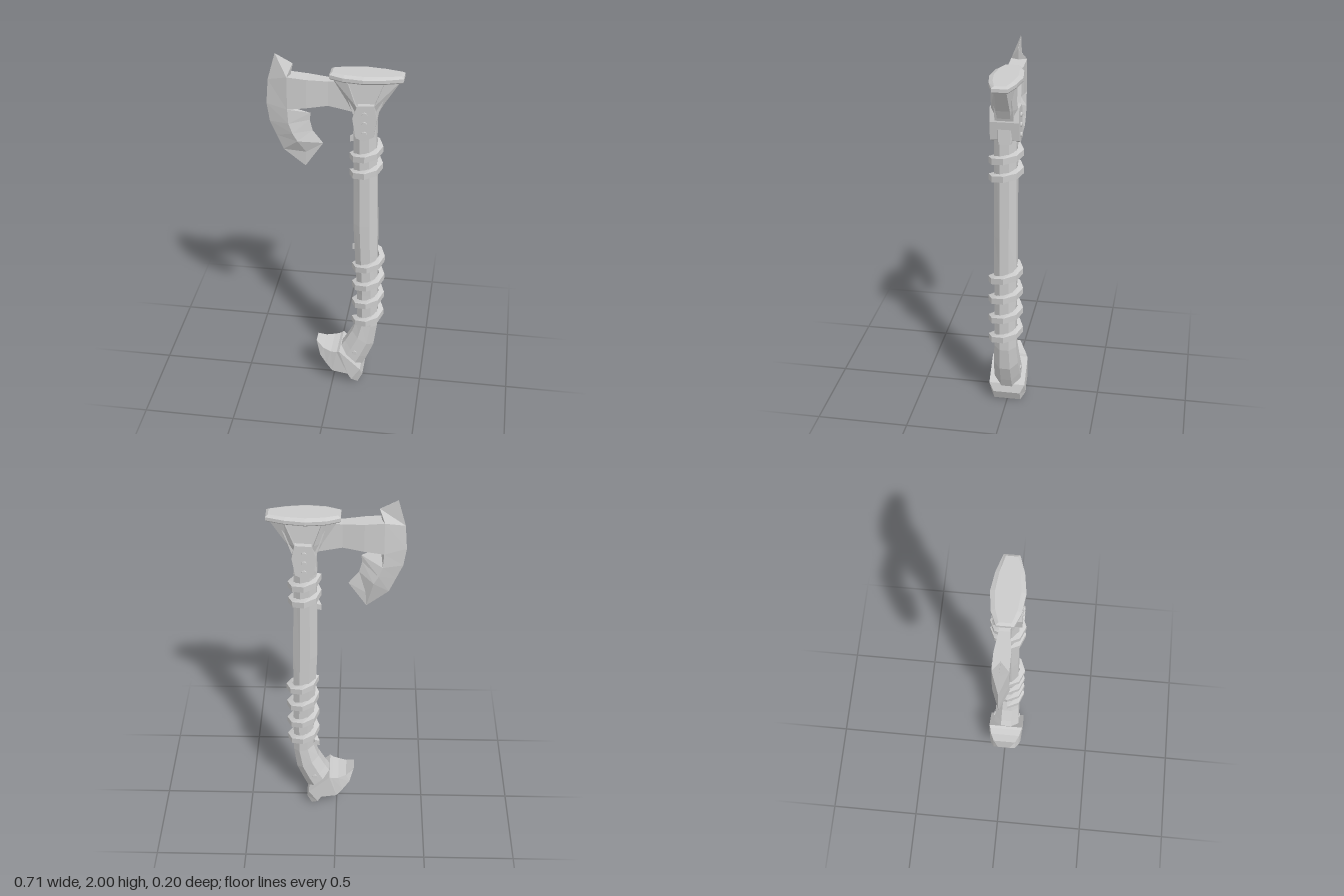
import * as THREE from 'three';

const material = new THREE.MeshStandardMaterial({ color: 0xcccccc, flatShading: true });

// Closed solid through a row of cross-sections with equal point counts.
function loft(sections) {
  const tris = [];
  const n = sections[0].length;
  for (let i = 0; i < sections.length - 1; i++) {
    const a = sections[i], b = sections[i + 1];
    for (let j = 0; j < n; j++) {
      const k = (j + 1) % n;
      tris.push([a[j], a[k], b[k]], [a[j], b[k], b[j]]);
    }
  }
  const first = sections[0], last = sections[sections.length - 1];
  for (let j = 1; j < n - 1; j++) {
    tris.push([first[0], first[j + 1], first[j]], [last[0], last[j], last[j + 1]]);
  }
  // turn the faces outward whichever way the sections were listed
  let volume = 0;
  const [u, v, w] = [0, 1, 2].map(() => new THREE.Vector3());
  for (const t of tris) {
    volume += u.fromArray(t[0]).dot(v.fromArray(t[1]).cross(w.fromArray(t[2])));
  }
  if (volume < 0) tris.forEach((t) => t.reverse());
  const geometry = new THREE.BufferGeometry();
  geometry.setAttribute('position', new THREE.Float32BufferAttribute(tris.flat(2), 3));
  geometry.computeVertexNormals();
  return geometry;
}

export function createModel() {
  const group = new THREE.Group();
  const add = (name, geometry) => {
    const mesh = new THREE.Mesh(geometry, material);
    mesh.name = name;
    group.add(mesh);
    return mesh;
  };

  // Handle: octagonal sections given as left edge, right edge and half depth
  const handle = [
    [0.03, 0.2, 0.16, 0.09, 0.075], [0.065, 0.255, 0.19, 0.155, 0.072],
    [0.105, 0.33, 0.228, 0.25, 0.068], [0.132, 0.41, 0.245, 0.38, 0.06],
    [0.13, 0.6, 0.243, 0.6, 0.058], [0.115, 0.86, 0.238, 0.86, 0.06],
    [0.105, 1.05, 0.235, 1.05, 0.06], [0.102, 1.7, 0.218, 1.7, 0.058],
  ];
  add('handle', loft(handle.map(([lx, ly, rx, ry, depth]) =>
    Array.from({ length: 8 }, (_, i) => {
      const a = (i + 0.5) * Math.PI / 4;
      const c = Math.cos(a) / Math.cos(Math.PI / 8) / 2;
      const s = Math.sin(a) / Math.cos(Math.PI / 8);
      return [(lx + rx) / 2 + c * (rx - lx), (ly + ry) / 2 + c * (ry - ly), s * depth];
    }))));

  // Cord wraps: flat bands wound up the handle
  function wrap(name, x, y0, y1, turns, radius) {
    const steps = turns * 8;
    const sections = [];
    for (let i = 0; i <= steps; i++) {
      const t = i / steps;
      const a = Math.PI - t * turns * Math.PI * 2;
      const y = y0 + (y1 - y0) * t;
      sections.push([[-0.03, -0.014], [0, -0.02], [0, 0.014], [-0.03, 0.02]].map(([dr, dy]) => [
        x + (radius + dr) * Math.cos(a), y + dy, (radius + 0.005 + dr) * Math.sin(a)]));
    }
    add(name, loft(sections));
  }
  wrap('lowerCordWrap', 0.188, 0.405, 0.885, 4, 0.09);
  wrap('upperCordWrap', 0.167, 1.355, 1.55, 2, 0.088);

  // Axe blade: diamond sections of cutting edge, ridge and inner edge
  const blade = [
    [-0.305, 2.0, -0.215, 1.95, -0.213, 1.95, 0.001],
    [-0.345, 1.855, -0.24, 1.89, -0.225, 1.89, 0.042],
    [-0.355, 1.72, -0.24, 1.71, -0.225, 1.705, 0.042],
    [-0.34, 1.62, -0.235, 1.63, -0.125, 1.68, 0.042],
    [-0.305, 1.54, -0.215, 1.575, -0.13, 1.64, 0.042],
    [-0.27, 1.46, -0.19, 1.53, -0.115, 1.58, 0.04],
    [-0.155, 1.37, -0.15, 1.455, -0.06, 1.51, 0.006],
  ];
  add('blade', loft(blade.map(([ox, oy, rx, ry, ix, iy, z]) =>
    [[ox, oy, 0], [rx, ry, z], [ix, iy, 0], [rx, ry, -z]])));

  // Neck joining blade and head
  add('bladeNeck', loft([
    [-0.24, 1.71, 1.89, 0.042], [-0.14, 1.725, 1.882, 0.042],
    [-0.03, 1.74, 1.875, 0.028], [0.12, 1.71, 1.885, 0.028],
  ].map(([x, lo, hi, z]) => [[x, lo, -z], [x, lo, z], [x, hi, z], [x, hi, -z]])));

  // Head: recessed core between two chamfered flaring cheeks
  add('headCore', loft([
    [1.65, 0.12, 0.205, 0.05], [1.9, 0.04, 0.29, 0.045],
  ].map(([y, x0, x1, z]) => [[x0, y, z], [x1, y, z], [x1, y, -z], [x0, y, -z]])));
  const cheeks = {
    leftCheek: [[1.58, 0.16, 0.222, 0.06], [1.7, 0.17, 0.218, 0.07], [1.77, 0.21, 0.255, 0.069], [1.9, 0.26, 0.338, 0.062]],
    rightCheek: [[1.58, 0.16, 0.1, 0.06], [1.7, 0.15, 0.103, 0.07], [1.77, 0.115, 0.07, 0.069], [1.9, 0.07, -0.01, 0.062]],
  };
  for (const [name, rows] of Object.entries(cheeks)) {
    add(name, loft(rows.map(([y, inner, outer, z]) =>
      [[inner, y, z], [outer, y, z * 0.5], [outer, y, -z * 0.5], [inner, y, -z]])));
  }

  // Cap on top of the head
  const capSection = (y, s, e) => {
    const half = [[-0.022, 0.043], [0.05, 0.074], [0.155, 0.087], [0.26, 0.071], [0.353, 0.04]];
    const row = half.map(([x, z]) => [0.165 + (x - 0.165) * e, y, z * s]);
    return [...row, ...row.slice().reverse().map(([x, py, z]) => [x, py, -z])];
  };
  add('headCap', loft([capSection(1.893, 0.93, 0.97), capSection(1.9, 1, 1),
    capSection(1.918, 1, 1), capSection(1.928, 0.72, 0.93)]));

  // Riveted plate clasping the handle top
  const plateShape = new THREE.Shape([
    [0.125, 1.77], [0.1, 1.7], [0.118, 1.59], [0.16, 1.575], [0.21, 1.6], [0.226, 1.7], [0.21, 1.775],
  ].map(([x, y]) => new THREE.Vector2(x, y)));
  const plate = new THREE.ExtrudeGeometry(plateShape, { depth: 0.15, bevelEnabled: false });
  add('rivetedPlate', plate.translate(0, 0, -0.075));
  [[0.163, 1.725, 0.168], [0.163, 1.672, 0.168], [0.163, 1.617, 0.168], [0.125, 0.207, 0.156]]
    .forEach(([x, y, length]) => {
      const rivet = add('rivet', new THREE.CylinderGeometry(0.014, 0.014, length, 8));
      rivet.rotation.x = Math.PI / 2;
      rivet.position.set(x, y, 0);
    });

  // Beaked pommel: sections of upper point, lower point and half depth
  add('pommel', loft([
    [-0.1, 0.245, -0.098, 0.235, 0.035], [-0.055, 0.215, -0.075, 0.165, 0.065],
    [-0.01, 0.21, -0.035, 0.12, 0.085], [0.025, 0.215, 0, 0.08, 0.094],
    [0.04, 0.225, 0.09, 0.07, 0.1], [0.16, 0.11, 0.11, 0.035, 0.1],
    [0.172, 0.06, 0.145, 0.003, 0.075],
  ].map(([ux, uy, lx, ly, z]) => [[ux, uy, -z], [ux, uy, z], [lx, ly, z], [lx, ly, -z]])));

  return group;
}
